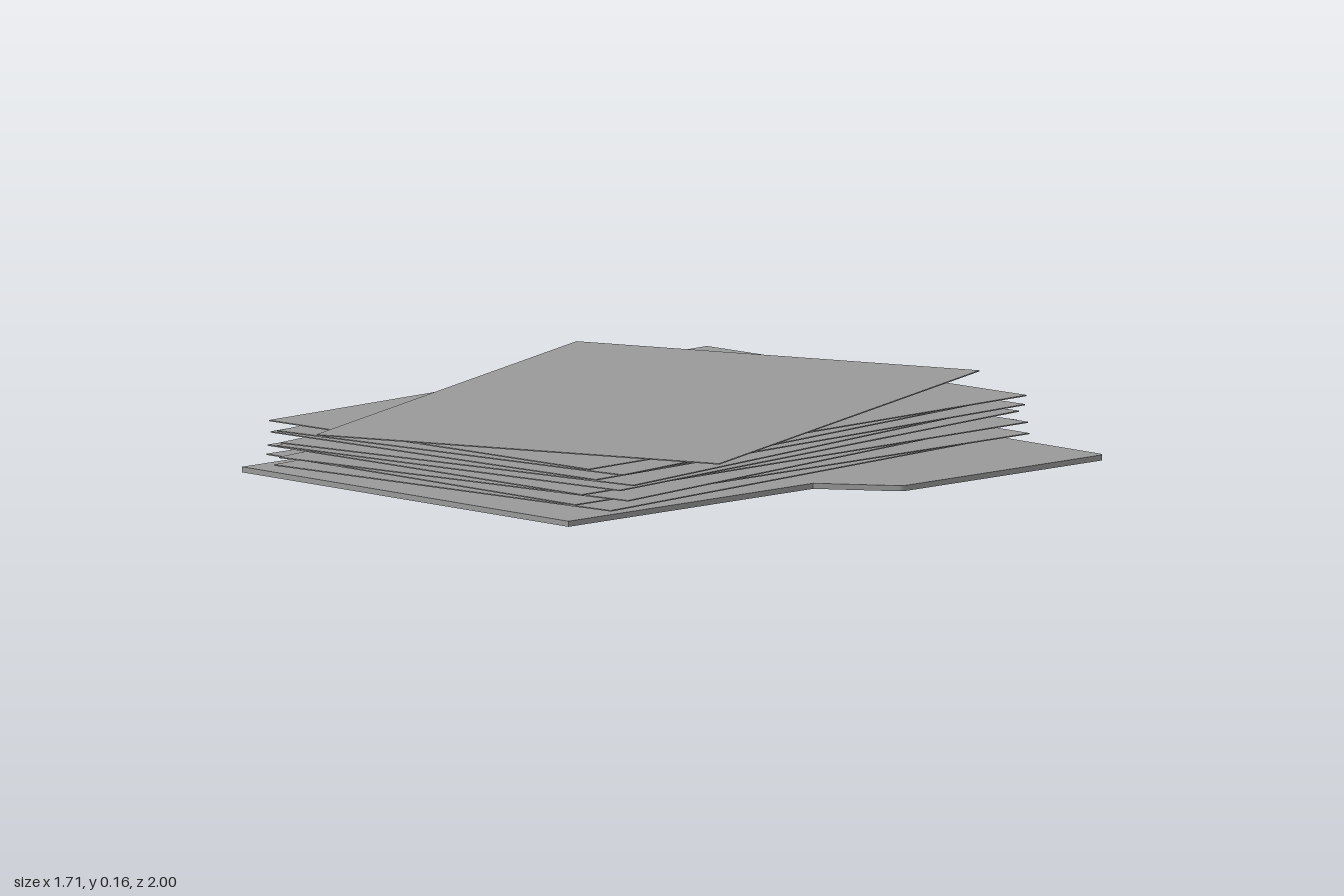
import * as THREE from 'three';

export function createModel() {
  const group = new THREE.Group();
  const grey = new THREE.MeshStandardMaterial({ color: 0x999999 });
  grey.name = 'paper grey';

  // Folder with a side tab; shape y is -z
  const s = new THREE.Shape();
  s.moveTo(-0.625, -0.89);
  s.lineTo(0.62, -0.89);
  s.lineTo(0.62, 0.01);
  s.lineTo(0.805, 0.145);
  s.quadraticCurveTo(0.815, 0.152, 0.815, 0.168);
  s.lineTo(0.815, 0.875);
  s.quadraticCurveTo(0.815, 0.895, 0.795, 0.895);
  s.lineTo(-0.625, 0.895);
  s.closePath();
  const folderGeo = new THREE.ExtrudeGeometry(s, { depth: 0.015, bevelEnabled: false, curveSegments: 5 });
  folderGeo.rotateX(-Math.PI / 2);
  const folder = new THREE.Mesh(folderGeo, grey);
  folder.name = 'folder';
  group.add(folder);

  // Loose sheets, bottom to top, each turned by its own angle in degrees
  const angles = [5.75, 0.4, 8.3, 1.4, 7.1, 9.1, 3.5, 7.5, 2.45, 21.85];
  const sheetGeo = new THREE.BoxGeometry(1.169, 0.003, 1.682);
  angles.forEach((deg, i) => {
    const sheet = new THREE.Mesh(sheetGeo, grey);
    sheet.name = `sheet${i + 1}`;
    sheet.position.y = 0.035 + i * 0.01375;
    sheet.rotation.y = THREE.MathUtils.degToRad(deg);
    group.add(sheet);
  });

  return group;
}
